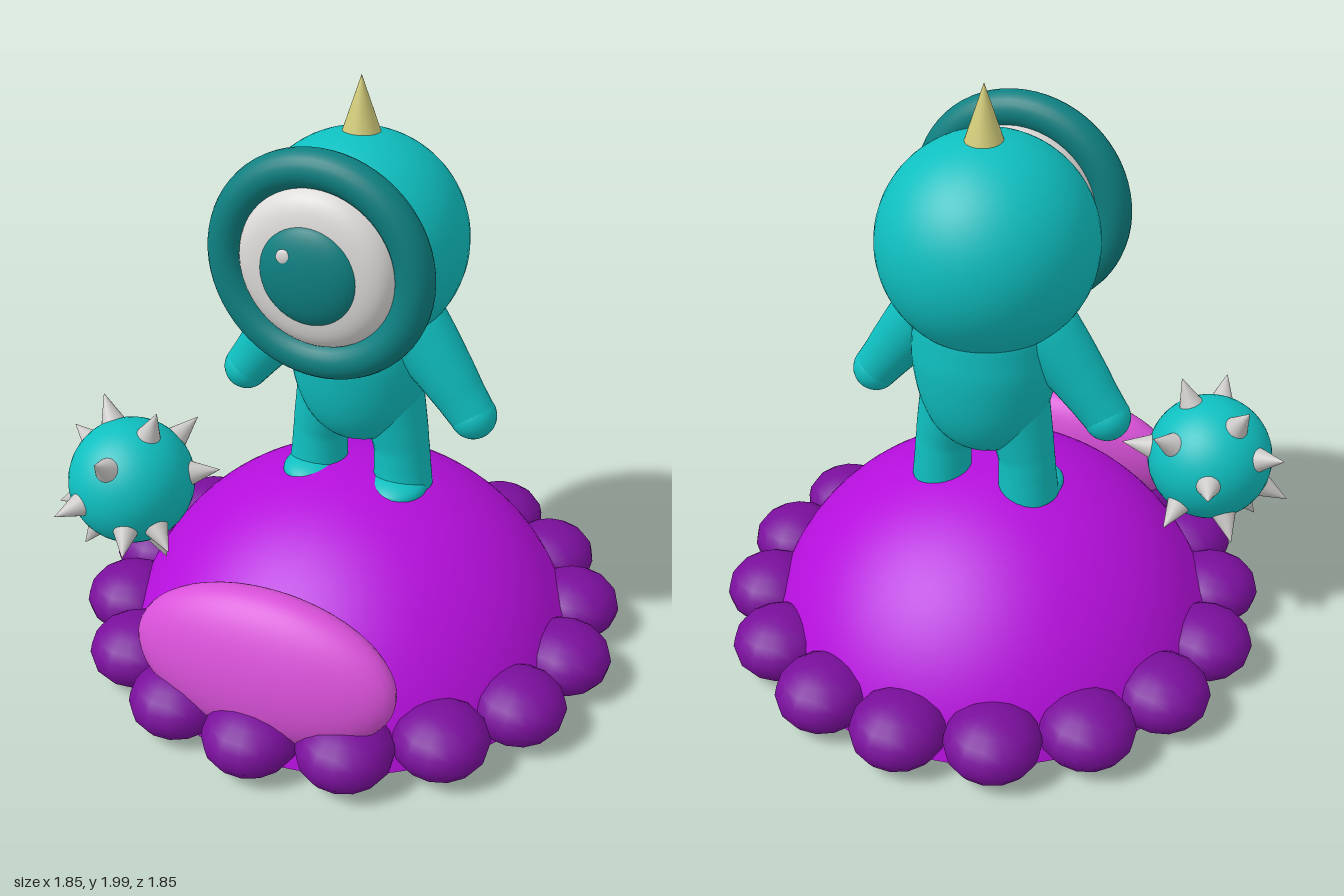
import * as THREE from 'three';
import { mergeVertices } from 'three/addons/utils/BufferGeometryUtils.js';

const mat = (name, color, side = THREE.FrontSide) => {
  const m = new THREE.MeshStandardMaterial({ color, side });
  m.name = name;
  return m;
};

// Tube along [x, y, z, radius] stations, with the radius blended between them
function limbGeometry(stations) {
  const curve = new THREE.CatmullRomCurve3(stations.map(([x, y, z]) => new THREE.Vector3(x, y, z)));
  const rings = 24, sides = 24;
  const geo = new THREE.TubeGeometry(curve, rings, 1, sides);
  const pos = geo.attributes.position, v = new THREE.Vector3();
  for (let i = 0; i <= rings; i++) {
    const centre = curve.getPointAt(i / rings);
    const t = curve.getUtoTmapping(i / rings) * (stations.length - 1);
    const k = Math.min(Math.floor(t), stations.length - 2);
    const r = THREE.MathUtils.lerp(stations[k][3], stations[k + 1][3], t - k);
    for (let j = 0; j <= sides; j++) {
      const n = i * (sides + 1) + j;
      v.fromBufferAttribute(pos, n).sub(centre).multiplyScalar(r).add(centre);
      pos.setXYZ(n, v.x, v.y, v.z);
    }
  }
  geo.deleteAttribute('uv');
  geo.deleteAttribute('normal');
  const smooth = mergeVertices(geo);
  smooth.computeVertexNormals();
  return smooth;
}

// Smooth lathe through [radius, height] points
const lathe = (points, sides = 48) => new THREE.LatheGeometry(
  new THREE.SplineCurve(points.map(([r, y]) => new THREE.Vector2(r, y))).getPoints(28)
    .map((p) => new THREE.Vector2(Math.max(p.x, 0), p.y)), sides);

export function createModel() {
  const model = new THREE.Group();
  model.name = 'oneEyedCreatureOnDome';

  const teal = mat('teal skin', 0x0fbfc0);
  const darkTeal = mat('dark teal', 0x0e8081);
  const white = mat('white', 0xdedcda);
  const horn = mat('horn yellow', 0xd0ca78);
  const purple = mat('purple', 0xb50fdc, THREE.DoubleSide);
  const darkPurple = mat('dark purple', 0x7a0f9c);
  const pink = mat('pink', 0xd850d8);
  const grey = mat('spike grey', 0xcccac8);

  const add = (parent, name, geo, material, x = 0, y = 0, z = 0) => {
    const mesh = new THREE.Mesh(geo, material);
    mesh.name = name;
    mesh.position.set(x, y, z);
    parent.add(mesh);
    return mesh;
  };

  // Open dome, a cap of a larger sphere
  const R = 0.789, capY = -0.134;
  add(model, 'dome', new THREE.SphereGeometry(R, 64, 24, 0, Math.PI * 2, 0, Math.acos((0.02 - capY) / R)),
    purple, 0, capY, 0);

  // Ring of flattened beads round the rim
  const beads = new THREE.Group();
  beads.name = 'rimBeads';
  model.add(beads);
  const beadGeo = new THREE.SphereGeometry(1, 14, 10);
  for (let i = 0; i < 16; i++) {
    const a = (i / 16) * Math.PI * 2;
    const bead = add(beads, 'bead', beadGeo, darkPurple, Math.sin(a) * 0.77, 0.12, Math.cos(a) * 0.77);
    bead.scale.set(0.157, 0.112, 0.157);
    bead.rotation.y = a;
  }

  // Pink patch leaning on the front of the dome
  const patch = add(model, 'frontPatch', new THREE.SphereGeometry(1, 40, 28), pink, 0, 0.325, 0.67);
  patch.scale.set(0.445, 0.25, 0.13);
  patch.rotation.x = -0.2;

  // Creature body
  const body = new THREE.Group();
  body.name = 'creature';
  model.add(body);
  add(body, 'head', new THREE.SphereGeometry(0.35, 48, 36), teal, 0, 1.48, -0.04);
  const torso = add(body, 'torso', lathe([[0, 0.775], [0.09, 0.79], [0.15, 0.85], [0.19, 0.95],
    [0.21, 1.08], [0.208, 1.17], [0.2, 1.25], [0.17, 1.36]]), teal, 0, 0, -0.065);
  torso.scale.x = 1.13;

  for (const [side, s] of [['left', 1], ['right', -1]]) {
    // Arm with a rounded hand
    const arm = add(body, side + 'Arm', limbGeometry([[s * 0.13, 1.27, -0.045, 0.12], [s * 0.2, 1.2, -0.045, 0.118],
      [s * 0.3, 1.08, -0.04, 0.096], [s * 0.36, 1.0, -0.038, 0.083], [s * 0.405, 0.94, -0.036, 0.076]]), teal);
    arm.scale.z = 0.95;
    add(body, side + 'Hand', new THREE.SphereGeometry(0.076, 24, 18), teal, s * 0.405, 0.94, -0.035);
    // Leg with a slight toe
    add(body, side + 'Leg', limbGeometry([[s * 0.09, 1.0, -0.065, 0.12], [s * 0.125, 0.86, -0.067, 0.104],
      [s * 0.146, 0.76, -0.068, 0.093], [s * 0.151, 0.69, -0.068, 0.095], [s * 0.155, 0.61, -0.066, 0.1]]), teal);
    const toe = add(body, side + 'Toe', new THREE.SphereGeometry(1, 24, 16), teal, s * 0.155, 0.62, -0.02);
    toe.scale.set(0.098, 0.045, 0.115);
  }

  // Horn
  add(body, 'horn', new THREE.ConeGeometry(0.067, 0.2, 28), horn, 0, 1.9, -0.065);

  // Eye, facing +z
  const eye = new THREE.Group();
  eye.name = 'eye';
  eye.position.y = 1.502;
  body.add(eye);
  const ball = add(eye, 'eyeball', lathe([[0.24, 0.06], [0.265, 0.13], [0.268, 0.2], [0.25, 0.275],
    [0.2, 0.315], [0.1, 0.332], [0, 0.335]]), white);
  ball.rotation.x = Math.PI / 2;
  add(eye, 'eyeRim', new THREE.TorusGeometry(0.308, 0.06, 24, 64), darkTeal, 0, 0, 0.241);
  const iris = add(eye, 'iris', new THREE.SphereGeometry(1, 40, 24), darkTeal, 0, 0, 0.312);
  iris.scale.set(0.16, 0.16, 0.057);
  const glint = add(eye, 'eyeGlint', new THREE.SphereGeometry(1, 20, 12), white, -0.061, 0.066, 0.356);
  glint.scale.set(0.024, 0.024, 0.009);

  // Spiked ball floating beside the dome
  const mace = new THREE.Group();
  mace.name = 'spikedBall';
  mace.position.set(-0.657, 0.633, 0.33);
  model.add(mace);
  add(mace, 'ball', new THREE.SphereGeometry(0.21, 36, 26), teal);
  const spikeGeo = new THREE.ConeGeometry(0.043, 0.105, 20).translate(0, 0.25, 0);
  const up = new THREE.Vector3(0, 1, 0);
  for (const d of [
    [0.11, 0.27, 0], [-0.13, 0.23, -0.08], [-0.27, 0.1, -0.09], [-0.265, -0.13, 0.04],
    [-0.15, -0.24, 0.08], [0.115, -0.28, 0], [0.22, -0.13, 0.155], [0.27, 0.05, -0.1],
    [0.015, 0.18, 0.22], [-0.125, -0.02, 0.26], [0.1, -0.12, 0.24], [0.13, 0.15, -0.2],
    [-0.075, 0.02, -0.29], [0.075, -0.15, -0.23], [-0.13, -0.2, -0.16],
  ]) {
    const spike = add(mace, 'spike', spikeGeo, grey);
    spike.quaternion.setFromUnitVectors(up, new THREE.Vector3(...d).normalize());
  }
  return model;
}
